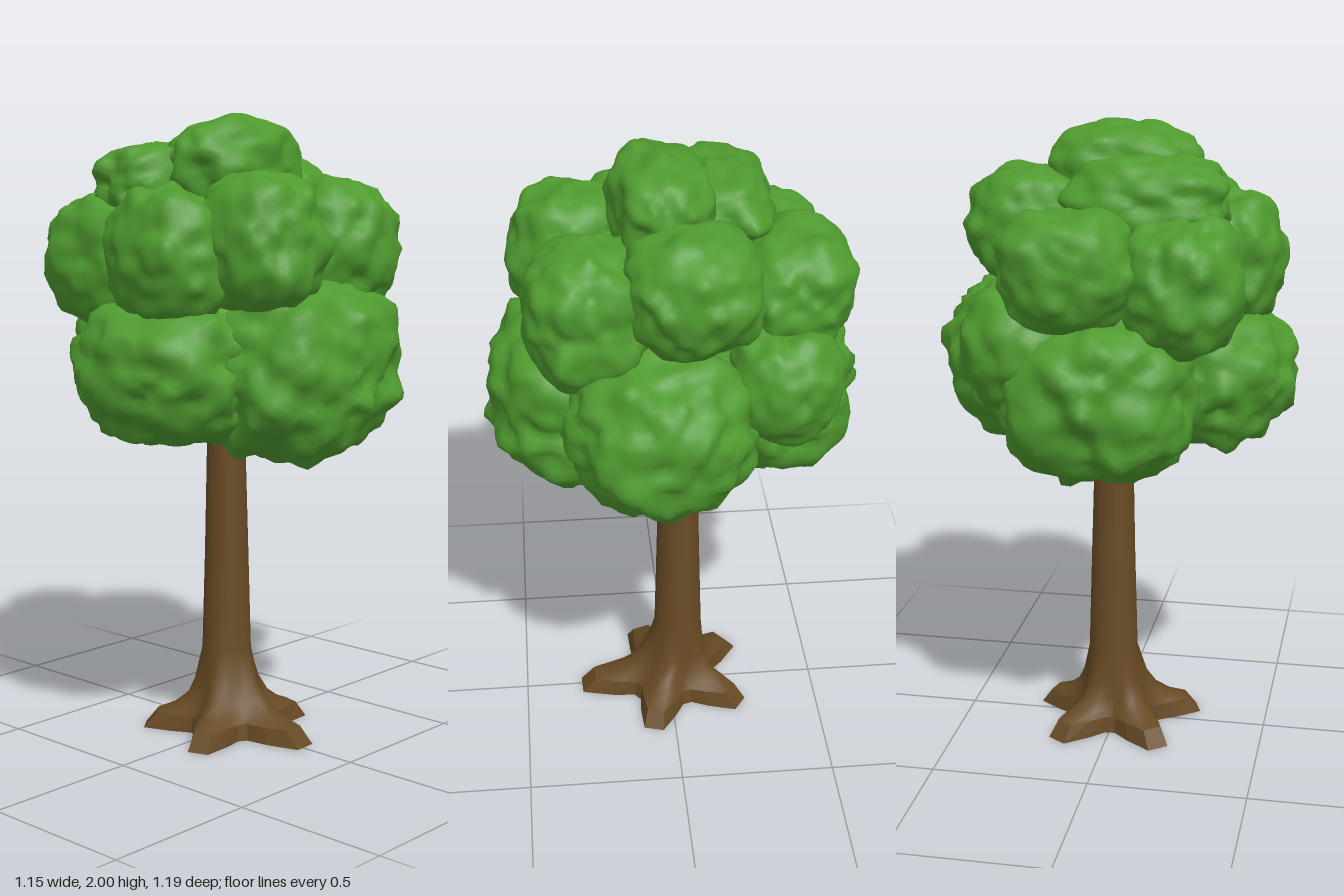
import * as THREE from 'three';
import { mergeVertices } from 'three/addons/utils/BufferGeometryUtils.js';

// Repeatable lattice noise in -1..1
function hash(i, j, k) {
  let h = Math.imul(i, 374761393) ^ Math.imul(j, 668265263) ^ Math.imul(k, 1274126177);
  h = Math.imul(h ^ (h >>> 13), 1103515245);
  return ((h ^ (h >>> 16)) >>> 0) / 2147483648 - 1;
}
function noise(x, y, z) {
  const c = [x, y, z].map(Math.floor);
  const t = [x, y, z].map((v, n) => { const f = v - c[n]; return f * f * (3 - 2 * f); });
  let sum = 0;
  for (let n = 0; n < 8; n++) {
    const a = n & 1, b = (n >> 1) & 1, d = n >> 2;
    sum += (a ? t[0] : 1 - t[0]) * (b ? t[1] : 1 - t[1]) * (d ? t[2] : 1 - t[2])
      * hash(c[0] + a, c[1] + b, c[2] + d);
  }
  return sum;
}

// Lumpy, slightly boxy ball of leaves
function leafGeometry([rx, ry, rz], seed) {
  let g = new THREE.IcosahedronGeometry(1, 12);
  g.deleteAttribute('uv');
  g.deleteAttribute('normal');
  g = mergeVertices(g, 1e-4);
  const p = g.attributes.position;
  const v = new THREE.Vector3();
  for (let i = 0; i < p.count; i++) {
    v.fromBufferAttribute(p, i).normalize();
    const box = Math.pow(Math.abs(v.x) ** 2.6 + Math.abs(v.y) ** 2.6 + Math.abs(v.z) ** 2.6, -1 / 2.6);
    const f = 12 * (rx + ry + rz) / 3;
    const lump = 0.1 * noise(v.x * f + seed * 7, v.y * f, v.z * f)
      + 0.08 * noise(v.x * f * 2, v.y * f * 2 + seed * 5, v.z * f * 2);
    v.multiplyScalar(box * 0.98 + lump);
    p.setXYZ(i, v.x * rx, v.y * ry, v.z * rz);
  }
  g.computeVertexNormals();
  return g;
}

// Root directions in the ground plane, and the length of each
const ROOTS = [[16, 0.272], [88, 0.31], [160, 0.285], [232, 0.293], [304, 0.285]];
// Angle offsets around one root: two tip corners, flanks and the hollow between roots
const STEPS = [[-7, 1], [7, 1], [18, 0.4], [30, 0], [42, 0], [54, 0.4]];

// One cross-section: hollow radius, and how far the roots reach (0..1)
function ring(y, r, reach, cx, cz) {
  const pts = [];
  ROOTS.forEach(([deg, length], n) => STEPS.forEach(([off, w], k) => {
    const tip = k === 5 ? ROOTS[(n + 1) % 5][1] : length;
    // corners spread evenly where the trunk is round
    const even = -6 + k * 12;
    const a = THREE.MathUtils.degToRad(deg + THREE.MathUtils.lerp(even, off, Math.min(1, reach * 2)));
    const rad = r + w * reach * (tip - r);
    pts.push([cx + Math.cos(a) * rad, y, cz + Math.sin(a) * rad]);
  }));
  return pts;
}

function loft(rings) {
  const n = rings[0].length, index = [];
  for (let j = 0; j < rings.length - 1; j++) {
    for (let i = 0; i < n; i++) {
      const a = j * n + i, b = j * n + (i + 1) % n;
      index.push(a, a + n, b, b, a + n, b + n);
    }
  }
  const g = new THREE.BufferGeometry();
  g.setAttribute('position', new THREE.Float32BufferAttribute(rings.flat(2), 3));
  g.setIndex(index);
  g.computeVertexNormals();
  return g;
}

export function createModel() {
  const tree = new THREE.Group();
  tree.name = 'tree';
  const bark = new THREE.MeshStandardMaterial({ color: 0x674a24, side: THREE.DoubleSide });
  bark.name = 'brown bark';
  const leaves = new THREE.MeshStandardMaterial({ color: 0x4f9a2f });
  leaves.name = 'green leaves';

  const add = (name, geometry, material, parent) => {
    const mesh = new THREE.Mesh(geometry, material);
    mesh.name = name;
    parent.add(mesh);
    return mesh;
  };

  // Trunk flaring into five roots, open underneath
  const rootTop = ring(0.052, 0.142, 0.72, 0, 0);
  add('trunk', loft([
    rootTop,
    ring(0.075, 0.126, 0.38, 0, -0.005),
    ring(0.11, 0.11, 0.17, 0, -0.01),
    ring(0.16, 0.096, 0.08, 0.003, -0.02),
    ring(0.27, 0.08, 0, 0.005, -0.03),
    ring(0.6, 0.071, 0, 0.005, -0.03),
    ring(0.97, 0.062, 0, 0.003, -0.03),
    ring(1.3, 0.05, 0, 0, -0.03),
  ]), bark, tree);

  // Upright sides and ends of the roots
  add('rootSides', loft([ring(0, 0.15, 1, 0, 0), rootTop]).toNonIndexed(), bark, tree)
    .geometry.computeVertexNormals();

  // Crown: centre and radii of each leaf clump
  const crown = new THREE.Group();
  crown.name = 'crown';
  tree.add(crown);
  const clumps = [
    ['lowerFront', [-0.01, 1.22, 0.29], [0.32, 0.28, 0.28]],
    ['lowerLeft', [0.27, 1.24, 0.05], [0.28, 0.27, 0.28]],
    ['lowerRight', [-0.28, 1.22, 0.02], [0.28, 0.23, 0.3]],
    ['lowerBack', [-0.01, 1.21, -0.29], [0.29, 0.27, 0.28]],
    ['middleBackLeft', [0.24, 1.36, -0.32], [0.17, 0.19, 0.17]],
    ['upperFrontRight', [-0.19, 1.6, 0.29], [0.18, 0.21, 0.2]],
    ['upperFrontLeft', [0.19, 1.58, 0.25], [0.2, 0.22, 0.2]],
    ['upperRight', [-0.35, 1.57, 0.08], [0.18, 0.21, 0.2]],
    ['upperLeft', [0.26, 1.68, -0.05], [0.19, 0.19, 0.2]],
    ['upperBack', [0.08, 1.6, -0.37], [0.21, 0.18, 0.19]],
    ['upperBackRight', [-0.25, 1.55, -0.28], [0.19, 0.21, 0.22]],
    ['topBack', [-0.13, 1.78, -0.17], [0.25, 0.14, 0.16]],
    ['top', [-0.02, 1.83, 0.02], [0.24, 0.16, 0.16]],
    ['core', [0, 1.5, 0], [0.27, 0.32, 0.27]],
  ];
  clumps.forEach(([name, centre, radii], n) => {
    add(name + 'Clump', leafGeometry(radii, n + 1), leaves, crown).position.set(...centre);
  });
  return tree;
}
